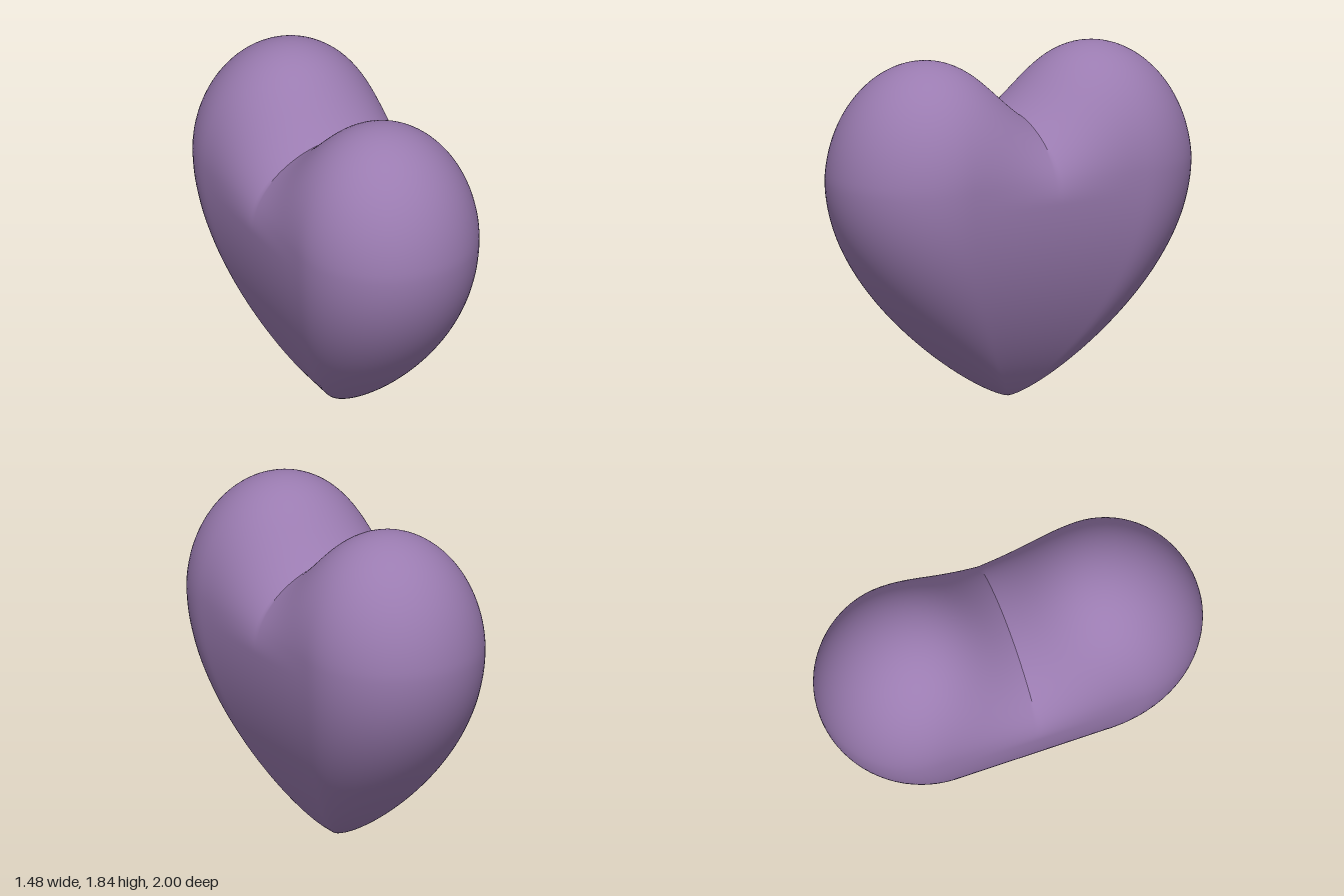
import * as THREE from 'three';
import { toCreasedNormals } from 'three/addons/utils/BufferGeometryUtils.js';

const HEIGHT = 1.84;      // top of the lobes
const WAIST = 1.22;       // height of the widest level
const TURN = 1.124;       // the heart's turn about the vertical axis

// Tells whether a point (u along the width, v along the depth) lies in the heart.
// Each level is a rounded bar: two round ends at +-c with radius r.
function inside(u, y, v) {
  if (y <= 0 || y >= HEIGHT) return false;
  let r, c, inner = 0;
  if (y < WAIST) {
    // narrowing to the tip
    const s = Math.sin((Math.PI / 2) * (y / WAIST));
    r = 0.5 * s ** 0.7;
    c = 1.053 * s ** 0.75 - r;
  } else {
    // rounding over into the two lobes
    const t = (y - WAIST) / (HEIGHT - WAIST);
    r = 0.5 * Math.sqrt(1 - t * t);
    c = 0.553 - 0.033 * t;
  }
  // towards the middle the bar is pinched more and more with height
  if (y > 1.1) inner = Math.sin((Math.PI / 2) * Math.min(1, (y - 1.1) / 0.72));
  const d = Math.abs(u) - c;
  const k = d > 0 ? 1 : inner;
  return (d * k) ** 2 + v * v < r * r;
}

// Distance from the core to the surface along a direction, by bisection
function reach(dir, core) {
  let lo = 0, hi = 1.6;
  for (let i = 0; i < 40; i++) {
    const m = (lo + hi) / 2;
    if (inside(dir.x * m, core + dir.y * m, dir.z * m)) lo = m;
    else hi = m;
  }
  return lo;
}

export function createModel() {
  const group = new THREE.Group();
  group.name = 'heart';

  // A sphere pushed out to the heart's surface; one ring of points lies on the crease
  const core = 0.95;
  const sphere = new THREE.SphereGeometry(1, 160, 120);
  const pos = sphere.attributes.position;
  const p = new THREE.Vector3();
  for (let i = 0; i < pos.count; i++) {
    p.fromBufferAttribute(pos, i).normalize();
    if (Math.abs(p.x) < 1e-6) p.x = 0;
    p.multiplyScalar(reach(p, core));
    pos.setXYZ(i, p.x, core + p.y, p.z);
  }
  sphere.rotateY(TURN);

  const body = new THREE.Mesh(
    toCreasedNormals(sphere, 0.6),
    new THREE.MeshStandardMaterial({ color: 0x9a7bb0 })
  );
  body.name = 'heartBody';
  group.add(body);
  return group;
}
